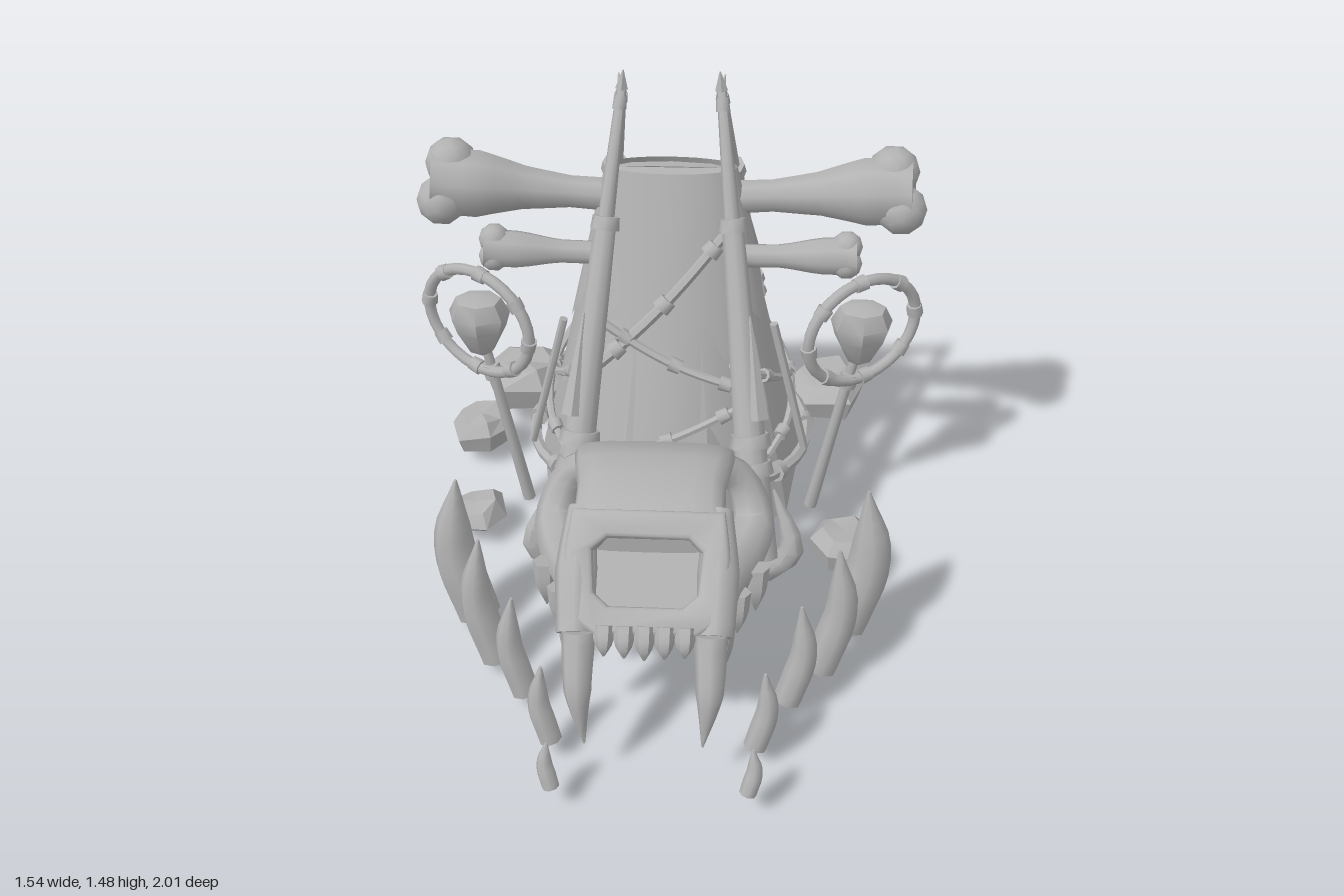
import * as THREE from 'three';
import { toCreasedNormals } from 'three/addons/utils/BufferGeometryUtils.js';

const V = (x, y, z) => new THREE.Vector3(x, y, z);
const V2 = list => list.map(p => new THREE.Vector2(...p));

// Skin over rings of points that run anticlockwise about the direction of travel
function loft(rings, caps = true) {
  const n = rings[0].length, pos = [], idx = [];
  rings.forEach(r => r.forEach(p => pos.push(p.x, p.y, p.z)));
  for (let i = 0; i < rings.length - 1; i++) for (let j = 0; j < n; j++) {
    const k = (j + 1) % n, a = i * n, b = a + n;
    idx.push(a + j, a + k, b + k, a + j, b + k, b + j);
  }
  if (caps) [0, rings.length - 1].forEach((e, end) => {
    const c = rings[e].reduce((s, p) => s.add(p), V(0, 0, 0)).divideScalar(n), ci = pos.length / 3;
    pos.push(c.x, c.y, c.z);
    for (let j = 0; j < n; j++) {
      const a = e * n + j, b = e * n + (j + 1) % n;
      idx.push(ci, ...(end ? [a, b] : [b, a]));
    }
  });
  const g = new THREE.BufferGeometry();
  g.setAttribute('position', new THREE.Float32BufferAttribute(pos, 3));
  g.setIndex(idx);
  return g;
}

// Tube through points whose radius follows a list
function taper(points, radii, sides = 8, steps = 10) {
  const curve = new THREE.CatmullRomCurve3(points), rings = [];
  const f = curve.computeFrenetFrames(steps, false);
  for (let i = 0; i <= steps; i++) {
    const c = curve.getPointAt(i / steps), q = i / steps * (radii.length - 1);
    const k = Math.min(Math.floor(q), radii.length - 2);
    const r = THREE.MathUtils.lerp(radii[k], radii[k + 1], q - k);
    rings.push(Array.from({ length: sides }, (_, j) => {
      const t = j / sides * Math.PI * 2;
      return c.clone().addScaledVector(f.normals[i], r * Math.cos(t)).addScaledVector(f.binormals[i], r * Math.sin(t));
    }));
  }
  return loft(rings);
}

// Point on the tent wall: angle in degrees from the front towards +x
function wall(deg, y, out = 0) {
  const t = (y - 0.08) / 1.09, a = deg * Math.PI / 180, L = THREE.MathUtils.lerp;
  return V(Math.sin(a) * (L(0.42, 0.18, t) + out), y, L(-0.385, -0.36, t) + Math.cos(a) * (L(0.48, 0.045, t) + out));
}

// Point along a tent pole, t from foot to tip
const pole = (s, back, t) => (back ? V(s * 0.27, 0.23, -0.95) : V(s * 0.285, 0.2, 0.22)).lerp(V(s * 0.14, 1.42, -0.36), t);

export function createModel() {
  const root = new THREE.Group();
  const grey = new THREE.MeshStandardMaterial({ color: 0xb2b2b2, side: THREE.DoubleSide });
  grey.name = 'grey';
  let seed = 7;
  const rnd = () => (seed = (seed * 16807) % 2147483647) / 2147483647;
  const add = (name, geo, crease = 0.9, at = V(0, 0, 0)) => {
    const m = new THREE.Mesh(toCreasedNormals(geo, crease), grey);
    m.name = name;
    m.position.copy(at);
    root.add(m);
    return m;
  };
  const rod = (name, a, b, r0, r1 = r0, sides = 8) => {
    const d = b.clone().sub(a);
    const m = add(name, new THREE.CylinderGeometry(r1, r0, d.length(), sides), 0.9, a.clone().lerp(b, 0.5));
    m.quaternion.setFromUnitVectors(V(0, 1, 0), d.normalize());
  };
  // Short collar around a rod at fraction t
  const band = (a, b, t, r, len) => {
    const d = b.clone().sub(a).setLength(len / 2), c = a.clone().lerp(b, t);
    rod('binding', c.clone().sub(d), c.add(d), r, r * 0.92);
  };

  // Open-bottomed tent body with a ridge, and torn overlapping hides
  const body = [[0.08, 0.015], [0.45, 0.012], [0.85, 0.006], [1.17, 0], [1.175, -0.04]];
  add('tentBody', loft(body.map(([y, out]) => Array.from({ length: 9 }, (_, j) => wall(20 + j * 40, y, out))), false), 0.6);
  [[0.28, 0.75, 0.008], [0.6, 1.18, 0.014]].forEach(([lo, hi, out]) => {
    const edge = f => Array.from({ length: 32 }, (_, j) => wall(j * 11.25, f(j), out));
    add('tornHide', loft([edge(j => lo + (j % 3) * 0.07 + rnd() * 0.12), edge(() => hi)], false), 0.6);
  });

  // Branches with knots, lashed between the poles and around the tent
  const branch = (pts, r) => {
    add('branch', taper(pts, [r, r * 0.8], 6, 14));
    for (let i = 1; i < 6; i += 2) band(pts[i], pts[i + 1], 0.2, r * 1.6, 0.035);
  };
  const wrap = (a0, y0, a1, y1, r = 0.014, out = 0.035) => branch(Array.from({ length: 7 }, (_, i) =>
    wall(a0 + (a1 - a0) * i / 6, y0 + (y1 - y0) * i / 6 - Math.sin(i / 6 * Math.PI) * 0.03, out)), r);
  [[0, 0.4, 0.72, 0.018], [0, 0.52, 0.37, 0.014], [0, 0.2, 0.34, 0.014], [1, 0.08, 0.36, 0.014], [1, 0.38, 0.1, 0.014],
    [1, 0.42, 0.62, 0.014], [1, 0.6, 0.4, 0.014]].forEach(([back, t0, t1, r]) => {
    const a = pole(-1, back, t0), b = pole(1, back, t1);
    branch(Array.from({ length: 7 }, (_, i) => a.clone().lerp(b, i / 6).add(V(0, -Math.sin(i / 6 * Math.PI) * 0.035, 0))), r);
  });

  for (const s of [1, -1]) {
    const P = (x, y, z) => V(s * x, y, z);
    wrap(s * 35, 0.64, s * 150, 0.3);
    wrap(s * 28, 0.3, s * 155, 0.2, 0.02, 0.05);
    wrap(s * 150, 0.62, s * 50, 0.32);

    // Crossed tent poles, each with a splinter beside it
    const top = pole(s, 0, 1);
    [0, 1].forEach(back => {
      const foot = pole(s, back, 0), mid = pole(s, back, 0.72), shift = P(0.03, 0, back ? -0.03 : 0.03);
      rod('tentPole', foot, mid, 0.056, 0.032, 10);
      rod('poleTip', mid, top, 0.024, 0.014);
      [[0.72, 0.042], [0.2, 0.062], [0.26, 0.061], [0.97, 0.02]].forEach(([t, r]) => band(foot, top, t, r, 0.038));
      rod('splinter', pole(s, back, 0.32).add(shift), pole(s, back, 0.54).add(shift), 0.032, 0.003, 5);
    });
    rod('poleSpike', top, P(0.135, 1.475, -0.36), 0.019, 0.002, 5);
    rod('poleSpike', top, P(0.15, 1.455, -0.385), 0.012, 0.002, 5);

    // Long bones through the top of the frame
    add('upperBone', taper([P(0.16, 1.07, -0.38), P(0.38, 1.09, -0.37), P(0.56, 1.115, -0.35), P(0.7, 1.13, -0.33)],
      [0.05, 0.048, 0.065, 0.1, 0.095], 9, 12));
    add('lowerBone', taper([P(0.22, 0.93, -0.28), P(0.4, 0.94, -0.27), P(0.545, 0.95, -0.26)], [0.035, 0.035, 0.055, 0.058]));
    [[0.64, 1.175, -0.36, 0.076], [0.665, 1.085, -0.3, 0.074], [0.515, 0.975, -0.27, 0.046], [0.515, 0.93, -0.25, 0.046]]
      .forEach(([x, y, z, r]) => add('boneKnuckle', new THREE.IcosahedronGeometry(r, 1), 0.7, P(x, y, z)));

    // Bound hoop with a hanging stone on a stake
    const hoop = Array.from({ length: 16 }, (_, i) => {
      const t = i * Math.PI / 8, u = 0.192 * Math.cos(t);
      return P(0.58 + u * 0.863, 0.69 + 0.175 * Math.sin(t), -0.26 - u * 0.505);
    });
    add('hoop', new THREE.TubeGeometry(new THREE.CatmullRomCurve3(hoop, true), 32, 0.018, 8, true));
    for (let i = 0; i < 16; i += 2) band(hoop[i], hoop[i + 1], 0.3, 0.025, 0.035);
    const egg = V2([[0, -0.115], [0.04, -0.09], [0.08, -0.01], [0.095, 0.04], [0.07, 0.09], [0, 0.108]]);
    add('hangingStone', new THREE.LatheGeometry(egg, 7).scale(1, 1, 0.78), 0.7, P(0.575, 0.685, -0.25));
    const stake = [P(0.46, 0, -0.265), P(0.565, 0.6, -0.262)];
    rod('stake', ...stake, 0.021, 0.015);
    band(...stake, 0.85, 0.03, 0.05);
    rod('sideStick', P(0.31, 0.76, -0.18), P(0.42, 0.32, -0.16), 0.013);

    // Row of curved tusks beside the skull: x, z, height, thickness
    [[0.54, 0.31, 0.47, 0.07], [0.46, 0.49, 0.41, 0.052], [0.365, 0.62, 0.32, 0.042], [0.275, 0.8, 0.24, 0.034], [0.255, 0.975, 0.13, 0.024]]
      .forEach(([x, z, h, r]) => {
        const y = 0.05 + (0.31 - Math.min(h, 0.31)) * 0.15;
        add('groundTusk', taper([P(x, y, z + 0.01), P(x + h * 0.12, y + h * 0.5, z - 0.01), P(x + h * 0.08, y + h, z - 0.02)],
          [r * 0.95, r, r * 0.75, 0.004]));
      });
    add('frontRib', taper([P(0.31, 0.1, 0.16), P(0.38, 0.22, 0.2), P(0.32, 0.4, 0.15)], [0.04, 0.035, 0.004], 7, 7));

    // Skull cheek, muzzle side, fang and side teeth
    const K = (x, y, z) => V(-0.02 + s * x, y, z);
    add('cheekBone', taper([K(0.17, 0.44, 0.72), K(0.2, 0.41, 0.56), K(0.25, 0.37, 0.4), K(0.28, 0.39, 0.27), K(0.24, 0.5, 0.22), K(0.17, 0.57, 0.25)],
      [0.05, 0.055, 0.065, 0.065, 0.05, 0.04], 8, 16));
    add('muzzleSide', taper([K(0.18, 0.61, 0.5), K(0.185, 0.53, 0.64), K(0.18, 0.42, 0.77)], [0.04, 0.055, 0.05]));
    add('fang', taper([K(0.17, 0.44, 0.78), K(0.17, 0.29, 0.86), K(0.155, 0.14, 0.89)], [0.045, 0.036, 0.003]));
    [[0.2, 0.69, 0.17], [0.24, 0.58, 0.13], [0.29, 0.48, 0.14]].forEach(([x, z, h]) =>
      add('cheekTooth', taper([K(x, 0.4, z), K(x, 0.4 - h / 2, z + 0.015), K(x, 0.39 - h, z + 0.01)], [0.035, 0.028, 0.003], 6, 5)));
  }

  // Skull roof sections: z, lower y, upper y, half width
  const sections = [[0.2, 0.53, 0.59, 0.2], [0.23, 0.53, 0.63, 0.225], [0.32, 0.55, 0.655, 0.215],
    [0.42, 0.56, 0.67, 0.2], [0.53, 0.55, 0.655, 0.2], [0.6, 0.55, 0.62, 0.18]];
  const round = v => Math.sign(v) * Math.abs(v) ** 0.6;
  add('skullRoof', loft(sections.map(([z, lo, hi, w]) => Array.from({ length: 16 }, (_, j) => {
    const t = j / 8 * Math.PI;
    return V(-0.02 + w * round(Math.cos(t)), (lo + hi) / 2 + (hi - lo) / 2 * round(Math.sin(t)), z);
  }))));

  // Sloping muzzle plate with the nose opening, palate and front teeth
  const face = new THREE.Shape(V2([[-0.19, 0.15], [0.19, 0.15], [0.205, 0.04], [0.19, -0.11], [0.13, -0.15], [-0.13, -0.15], [-0.19, -0.11], [-0.205, 0.04]]));
  face.holes.push(new THREE.Path(V2([[-0.11, 0.1], [-0.155, 0.06], [-0.145, -0.06], [-0.1, -0.1], [0.1, -0.1], [0.145, -0.06], [0.155, 0.06], [0.11, 0.1]])));
  const plate = new THREE.ExtrudeGeometry(face, { depth: 0.03, bevelSize: 0.012, bevelThickness: 0.02, bevelSegments: 2 });
  add('muzzle', plate.rotateX(-0.85), 0.9, V(-0.02, 0.52, 0.65));
  add('palate', new THREE.BoxGeometry(0.32, 0.03, 0.26), 0.9, V(-0.02, 0.45, 0.62));
  for (let i = -2; i <= 2; i++) {
    const x = -0.02 + i * 0.052;
    add('frontTooth', taper([V(x, 0.46, 0.78), V(x, 0.425, 0.81), V(x, 0.375 + Math.abs(i) * 0.006, 0.815)], [0.028, 0.026, 0.004], 6, 5));
  }

  // Rough rocks around the base: x, z, radius, bottom, top
  [[-0.52, -0.75, 0.155, 0.08, 0.21], [0.52, -0.74, 0.15, 0.08, 0.2], [-0.64, -0.5, 0.11, 0.055, 0.16],
    [-0.6, -0.09, 0.11, 0.06, 0.12], [0.54, 0.07, 0.115, 0.09, 0.19]].forEach(([x, z, r, lo, hi]) => {
    const wobble = Array.from({ length: 6 }, () => 0.82 + rnd() * 0.24);
    add('rock', loft([[lo, 0.85], [hi - 0.045, 1], [hi, 0.65]].map(([y, k], i) => wobble.map((w, j) => {
      const t = j * Math.PI / 3 + x;
      return V(x + Math.sin(t) * r * k * w, y + i * (rnd() - 0.5) * 0.02, z + Math.cos(t) * r * k * w);
    }))), 0.3);
  });
  return root;
}
